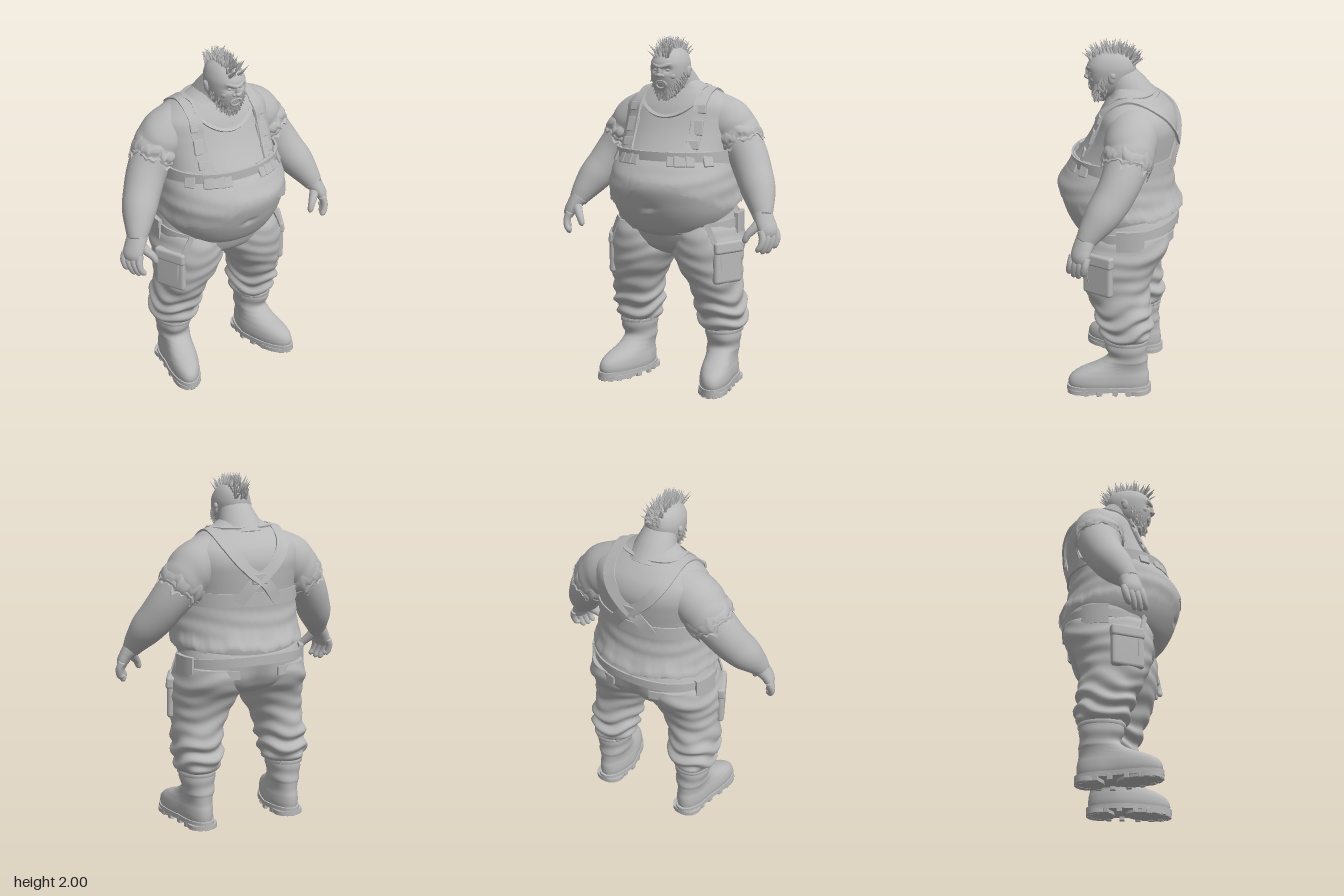
import * as THREE from 'three';
import { mergeGeometries, mergeVertices, toCreasedNormals } from 'three/addons/utils/BufferGeometryUtils.js';
import { RoundedBoxGeometry } from 'three/addons/geometries/RoundedBoxGeometry.js';

const V = (x, y, z) => new THREE.Vector3(x, y, z);
const { sin, cos, PI, abs, sign, exp, max, min } = Math;
let seed = 7;
const rand = () => (seed = (seed * 16807) % 2147483647) / 2147483647;

// smooth interpolation of every column of a row list
function sample(rows, t) {
  const n = rows.length - 1, f = min(t * n, n - 1e-6), i = Math.floor(f), u = f - i;
  const g = k => rows[max(0, min(n, k))];
  return rows[0].map((_, c) => {
    const a = g(i - 1)[c], b = g(i)[c], d = g(i + 1)[c], e = g(i + 2)[c];
    return b + 0.5 * u * (d - a + u * (2 * a - 5 * b + 4 * d - e + u * (3 * (b - d) + e - a)));
  });
}

// closed-around surface from a rule fn(angle, t)
function skin(fn, nu, nv, cap = true) {
  const pos = [], idx = [], id = (i, j) => j * nu + (i % nu);
  for (let j = 0; j <= nv; j++) for (let i = 0; i < nu; i++) pos.push(...fn(i / nu * 2 * PI, j / nv).toArray());
  for (let j = 0; j < nv; j++) for (let i = 0; i < nu; i++) {
    const a = id(i, j), b = id(i + 1, j), c = id(i + 1, j + 1), d = id(i, j + 1);
    idx.push(a, b, c, a, c, d);
  }
  if (cap) for (const j of [0, nv]) {
    const m = V(0, 0, 0), k = pos.length / 3;
    for (let i = 0; i < nu; i++) m.add(V(...pos.slice(id(i, j) * 3, id(i, j) * 3 + 3)));
    pos.push(...m.divideScalar(nu).toArray());
    for (let i = 0; i < nu; i++) j ? idx.push(k, id(i, j), id(i + 1, j)) : idx.push(k, id(i + 1, j), id(i, j));
  }
  const g = new THREE.BufferGeometry();
  g.setAttribute('position', new THREE.Float32BufferAttribute(pos, 3));
  g.setIndex(idx);
  g.computeVertexNormals();
  return g;
}

// horizontal sections: rows of [x, y, z, rx, rz], bottom to top
const pw = (v, p) => sign(v) * abs(v) ** (2 / p);
const ring = (r, a, off = 0, p = 2.15) => V(r[0] + (r[3] + off) * pw(sin(a), p), r[1], r[2] + (r[4] + off) * pw(cos(a), p));
const loft = (rows, warp = () => 0, nu = 48, nv = 50) => skin((a, t) => {
  const r = sample(rows, t);
  return ring(r, a, warp(a, r[1]));
}, nu, nv);
function at(rows, y) {
  let lo = 0, hi = 1;
  for (let k = 0; k < 24; k++) { const m = (lo + hi) / 2; sample(rows, m)[1] < y ? lo = m : hi = m; }
  return sample(rows, lo);
}
const surf = (rows, a, y, off = 0) => ring(at(rows, y), a, off);

// tapered limb: rows of [x, y, z, r1, r2], ref sets the direction of r1
function limb(rows, ref = V(0, 0, 1), nu = 20, nv = 24, warp, cap = true) {
  return skin((a, t) => {
    const r = sample(rows, t), q = sample(rows, min(1, t + 0.01)), o = sample(rows, max(0, t - 0.01));
    const T = V(q[0] - o[0], q[1] - o[1], q[2] - o[2]).normalize();
    const N = ref.clone().addScaledVector(T, -ref.dot(T)).normalize(), B = T.clone().cross(N);
    const w = warp ? warp(a, t) : [0, 0];
    return V(r[0], r[1], r[2]).addScaledVector(N, (r[3] + w[0]) * cos(a))
      .addScaledVector(B, ((r[4] ?? r[3]) + w[0]) * sin(a)).addScaledVector(T, w[1]);
  }, nu, nv, cap);
}

// flat strap lying on the body along a list of points
function strap(points, width, thick = 0.012, closed = false) {
  const curve = new THREE.CatmullRomCurve3(points, closed);
  return skin((a, t) => {
    const p = curve.getPointAt(t), T = curve.getTangentAt(t);
    const N = p.clone().sub(V(p.x * 0.5, min(p.y, 1.34), -0.06));
    N.addScaledVector(T, -N.dot(T)).normalize();
    const B = T.clone().cross(N), k = a - PI / 4;
    return p.addScaledVector(N, sign(cos(k)) * thick / 2).addScaledVector(B, sign(sin(k)) * width / 2);
  }, 4, 72, !closed);
}

function mirror(geo) {
  const g = (geo.index ? geo : mergeVertices(geo)).clone().scale(-1, 1, 1), ix = g.index.array;
  for (let i = 0; i < ix.length; i += 3) [ix[i], ix[i + 1]] = [ix[i + 1], ix[i]];
  g.computeVertexNormals();
  return g;
}
// box placed on the body, its depth facing along dir
function block(w, h, d, p, dir, r = 0.01) {
  const o = new THREE.Object3D();
  o.position.copy(p); o.lookAt(p.clone().add(dir)); o.updateMatrix();
  return new RoundedBoxGeometry(w, h, d, 2, r).applyMatrix4(o.matrix);
}
const ball = (x, y, z, rx, ry, rz) => new THREE.SphereGeometry(1, 20, 14).scale(rx, ry, rz).translate(x, y, z);
function spike(p, dir, len, r) {
  const q = new THREE.Quaternion().setFromUnitVectors(V(0, 1, 0), dir.clone().normalize());
  return new THREE.ConeGeometry(r, len, 5).translate(0, len / 2 - 0.008, 0).applyQuaternion(q).translate(p.x, p.y, p.z);
}

const span = ([y, w, f, b]) => [0, y, (f + b) / 2, w, (f - b) / 2];
const TORSO = [[.885, .19, .19, -.2], [.925, .28, .245, -.28], [1, .335, .29, -.31], [1.08, .358, .322, -.32], [1.18, .36, .345, -.3],
  [1.27, .345, .305, -.288], [1.36, .325, .235, -.295], [1.46, .33, .17, -.305], [1.54, .335, .13, -.307], [1.61, .325, .1, -.28],
  [1.665, .258, .07, -.232], [1.71, .176, .045, -.182], [1.75, .105, .04, -.14]].map(span);
const HIPS = [[.75, .04, .02, -.08], [.775, .15, .1, -.17], [.82, .29, .165, -.265], [.88, .355, .195, -.31], [.94, .362, .21, -.322],
  [1, .35, .21, -.325], [1.06, .335, .2, -.3]].map(span);
const HEAD = [[1.655, .03, .135, .07], [1.685, .058, .152, .02], [1.725, .083, .168, -.03], [1.77, .098, .18, -.065], [1.82, .102, .187, -.083],
  [1.86, .097, .184, -.084], [1.9, .078, .155, -.068], [1.925, .048, .11, -.03], [1.934, .008, .05, .03]].map(span);
const LEG = [[.272, .335, -.07, .112, .12], [.272, .37, -.075, .133, .145], [.27, .45, -.06, .138, .155], [.262, .52, -.05, .143, .165],
  [.248, .6, -.025, .15, .175], [.228, .68, -.015, .168, .195], [.203, .77, -.023, .195, .217], [.2, .86, -.048, .19, .25], [.19, .95, -.06, .165, .24]];
const BOOT = [[.28, .03, .02, .086, .222], [.28, .07, .022, .094, .23], [.28, .11, .014, .092, .221], [.28, .143, -.008, .086, .192], [.28, .175, -.048, .083, .15],
  [.28, .22, -.083, .088, .114], [.28, .28, -.077, .095, .118], [.28, .36, -.075, .1, .125]];

export function createModel() {
  const root = new THREE.Group();
  const grey = new THREE.MeshStandardMaterial({ color: 0xb8b8b8, side: THREE.DoubleSide });
  grey.name = 'grey';
  const add = (name, geo, crease) => {
    const m = new THREE.Mesh(crease ? toCreasedNormals(geo, 0.6) : geo, grey);
    m.name = name; root.add(m);
  };
  const pair = (name, geo, crease) => {
    add('left ' + name, geo, crease); add('right ' + name, mirror(geo), crease);
  };

  // body with navel, and shirt with torn hem
  add('torso', loft(TORSO, (a, y) => -0.02 * exp(-((sin(a) * 14) ** 2) - ((y - 1.06) / .014) ** 2) * (cos(a) > 0), 72, 72));
  const tear = a => 0.01 * sin(a * 7 + 1) + 0.007 * sin(a * 19) + 0.005 * sin(a * 43);
  const hem = a => 1.06 + tear(a) + (cos(a) > 0 ? 0.14 * exp(-(((sin(a) - .2) / .58) ** 4)) * cos(a) : 0);
  add('shirt', skin((a, t) => {
    const h = hem(a), y = h + (1.7 - h) * t;
    const roll = 0.026 * exp(-(((y - h) / .045) ** 2)) * (0.55 - 0.45 * cos(a));
    const fold = 0.003 * sin(y * 62 + 2 * sin(a * 2 + 1)) * exp(-(((y - 1.2) / .08) ** 2));
    return surf(TORSO, a, y, 0.008 + roll + fold);
  }, 120, 60, false));
  const loop = (rows, y, off, n = 40) => Array.from({ length: n }, (_, i) => surf(rows, i / n * 2 * PI, y(i / n * 2 * PI), off));
  add('collar', strap(loop(TORSO, a => 1.715 - 0.16 * ((1 + cos(a)) / 2) ** 10, .008, 60), .02, .01, true), true);

  // harness
  const on = (x, y, s, off = .014) => {
    const r = at(TORSO, y), k = (1 - min(.98, abs(x) / r[3]) ** 2.15) ** (1 / 2.15);
    return V(x, y, r[2] + s * (r[4] * k + off));
  };
  add('chest band', strap(loop(TORSO, () => 1.335, .013), .075, .012, true), true);
  pair('shoulder strap', strap([on(.19, 1.36, 1), on(.2, 1.45, 1), on(.2, 1.55, 1, .016), on(.195, 1.63, 1, .016), V(.19, 1.71, -.075),
    on(.165, 1.63, -1, .016), on(.12, 1.56, -1), on(.04, 1.48, -1), on(-.04, 1.42, -1, .016), on(-.12, 1.32, -1, .016)], .068, .012), true);
  const out = V(.15, .35, 1);
  pair('strap buckle', mergeGeometries([[1.5, .085], [1.6, .05], [1.41, .05]].map(([y, h]) => block(.075, h, .016, on(.2, y, 1, .018), out, .005))));
  pair('band buckle', mergeGeometries([[.3, .05], [.45, .07], [.62, .05], [.95, .06]].map(([a, w]) =>
    block(w, .088, .016, surf(TORSO, a, 1.335, .017), V(sin(a), .45, cos(a)), .006))));
  add('back plate', block(.09, .06, .016, on(0, 1.45, -1, .016), V(0, .05, -1), .005));

  // trousers with creases, bunched towards the boots
  const crease = (a, y) => (0.003 + 0.01 * exp(-(((y - .43) / .09) ** 2))) * sin(y * 68 + 2.6 * sin(a + 1) + 1.4 * sin(a * 3 + y * 9))
    + 0.004 * sin(y * 33 - a * 3 + 2 * cos(a)) * exp(-(((y - .55) / .2) ** 2));
  const cleft = (a, y) => -0.03 * (cos(a) < 0) * exp(-((sin(a) * 7) ** 2) - ((y - .86) / .08) ** 2);
  add('trouser seat', loft(HIPS, cleft, 64, 40));
  pair('trouser leg', loft(LEG, crease, 56, 90));
  add('waistband', strap(loop(HIPS, a => .965 - .03 * cos(a), .003), .05, .01, true), true);
  pair('cargo pocket', mergeGeometries([block(.19, .21, .045, V(.365, .735, .07), V(1, .02, .5), .02), block(.195, .07, .05, V(.368, .835, .07), V(1, .08, .5), .016)]));
  const patch = (y, a0, a1, off) => Array.from({ length: 7 }, (_, i) => surf(HIPS, a0 + (a1 - a0) * i / 6, y, off));
  pair('hip pouch', strap(patch(.955, 1.5, 2, .01), .115, .024), true);
  pair('back pocket', strap(patch(.92, 2.35, 2.85, .004), .05, .012), true);
  pair('hanging strap', strap([V(.28, .97, .16), V(.32, .88, .15), V(.345, .8, .14), V(.35, .7, .135)], .03, .01), true);

  // boots: toes turn outwards
  const splay = g => {
    const p = g.attributes.position;
    for (let i = 0; i < p.count; i++) p.setX(i, p.getX(i) + max(-.02, p.getZ(i)) * .24);
    g.computeVertexNormals();
    return g;
  };
  pair('boot', splay(loft(BOOT, (a, y) => 0.003 * sin(y * 70 + sin(a)) * (y > .2), 40, 48)));
  const slab = (y0, y1, z, rx, rz) => loft([[.28, y0, z, rx, rz], [.28, y1, z, rx, rz]], undefined, 40, 2);
  pair('boot sole', splay(mergeGeometries([slab(.022, .05, .02, .098, .24), slab(.006, .03, .13, .088, .125), slab(.004, .03, -.14, .085, .08)])), true);
  pair('sole lugs', splay(mergeGeometries(Array.from({ length: 18 }, (_, i) => {
    const a = i / 18 * 2 * PI, p = ring([.28, .017, .02, .086, .225], a);
    return block(.03, .034, .025, p, V(sin(a), 0, cos(a) * .4), .004);
  }))));
  pair('boot rim', strap(Array.from({ length: 24 }, (_, i) => ring([.28, .325, -.075, .1, .125], i / 24 * 2 * PI)), .02, .008, true));

  // arms and torn sleeves
  pair('arm', limb([[.2, 1.54, -.105, .125], [.28, 1.505, -.1, .135], [.35, 1.43, -.095, .126], [.425, 1.33, -.07, .113], [.48, 1.24, -.03, .105],
    [.53, 1.16, .02, .096], [.57, 1.085, .07, .072], [.595, 1.03, .102, .052]], V(0, 0, 1), 28, 40));
  pair('sleeve', limb([[.18, 1.55, -.105, .14], [.28, 1.507, -.1, .145], [.34, 1.445, -.097, .138], [.372, 1.395, -.088, .133], [.385, 1.375, -.084, .133]],
    V(0, 0, 1), 56, 36, (a, t) => [0.004 * sin(t * 26 + 2 * sin(a * 2)) * t, t ** 6 * 1.8 * tear(a)], false));
  pair('sleeve cuff', limb([[.33, 1.46, -.096, .133], [.345, 1.435, -.093, .142], [.362, 1.408, -.088, .141], [.375, 1.388, -.083, .128]],
    V(0, 0, 1), 56, 10, a => [.25 * tear(a), 1.2 * tear(a + 2)], false));

  // hands
  const across = V(.05, .01, -.09);
  const hand = [limb([[.585, 1.05, .093, .057, .055], [.618, 1, .113, .06, .04], [.638, .96, .122, .058, .034], [.642, .93, .127, .045, .024]], across),
    limb([[.594, 1.02, .115, .03], [.565, .975, .145, .026], [.537, .94, .168, .021], [.522, .905, .176, .016], [.517, .893, .177, .004]], across, 12, 16)];
  for (let i = 0; i < 4; i++) {
    const k = i / 3, x = .612 + .048 * k, z = .165 - .085 * k, drop = .012 * (i === 0) + .025 * (i === 3);
    hand.push(limb([[x, .965, z, .02], [x + .014, .925, z + .008, .02], [x + .008, .885, z + .018, .018],
      [x - .008, .85 + drop, z + .022, .015], [x - .012, .838 + drop, z + .022, .004]], across, 12, 16));
  }
  pair('hand', mergeGeometries(hand));

  // head and face
  add('neck', limb([[0, 1.64, -.08, .15], [0, 1.72, -.045, .118], [0, 1.8, .003, .09]]));
  add('head', loft(HEAD, (a, y) => -0.018 * exp(-(((abs(sin(a)) - .38) / .2) ** 2) - ((y - 1.815) / .016) ** 2) * (cos(a) > 0), 64, 60));
  add('brow', limb([[-.075, 1.845, .13, .006], [-.045, 1.845, .165, .012], [0, 1.832, .184, .012], [.045, 1.845, .165, .012], [.075, 1.845, .13, .006]], V(0, 1, 0)));
  add('nose', mergeGeometries([ball(0, 1.805, .186, .013, .03, .012), ball(0, 1.787, .191, .017, .013, .015), ball(.018, 1.784, .182, .011, .01, .011), ball(-.018, 1.784, .182, .011, .01, .011)]));
  pair('eye', ball(.036, 1.815, .158, .014, .009, .012));
  pair('cheek', ball(.05, 1.782, .138, .028, .024, .026));
  pair('ear', mergeGeometries([ball(.1, 1.8, .035, .014, .032, .02), ball(.104, 1.815, .028, .012, .018, .017)]));
  add('mouth', new THREE.TorusGeometry(.025, .007, 10, 24).scale(1.2, .85, 1).rotateX(.25).translate(0, 1.735, .168));
  add('teeth', mergeGeometries([-2, -1, 0, 1, 2].map(i => block(.009, .012, .008, V(i * .009, 1.747, .171), V(i * .1, 0, 1), .002))));

  // beard tufts along the jaw and sideburns, and mohawk
  const tufts = [];
  for (let i = 0; i < 150; i++) {
    const a = (rand() * 2 - 1) * 1.6, y = 1.67 + rand() * (.02 + .12 * min(1, abs(a) / 1.3) ** 2);
    tufts.push(spike(surf(HEAD, a, y, -.002), V(sin(a), -.9 - rand(), cos(a) * .35), .018 + rand() * .018, .01));
  }
  for (let i = 0; i < 14; i++) tufts.push(spike(V((rand() - .5) * .06, 1.675, .115 + rand() * .03), V((rand() - .5) * .4, -1, .1), .045, .012));
  add('beard', mergeGeometries(tufts));
  const hair = [];
  for (let i = 0; i < 150; i++) {
    const f = -1.3 + rand() * 2.5, x = (rand() - .5) * .07, r = V(x * 6 + (rand() - .5) * .9, cos(f) + .3, sin(f) * .8 + (rand() - .5) * .9);
    const p = V(x, 1.835 + .093 * cos(f), .045 + .125 * sin(f));
    hair.push(spike(p, r, min(.05 + rand() * .045, 2.008 - p.y), .011));
  }
  add('mohawk', mergeGeometries(hair));
  return root;
}
